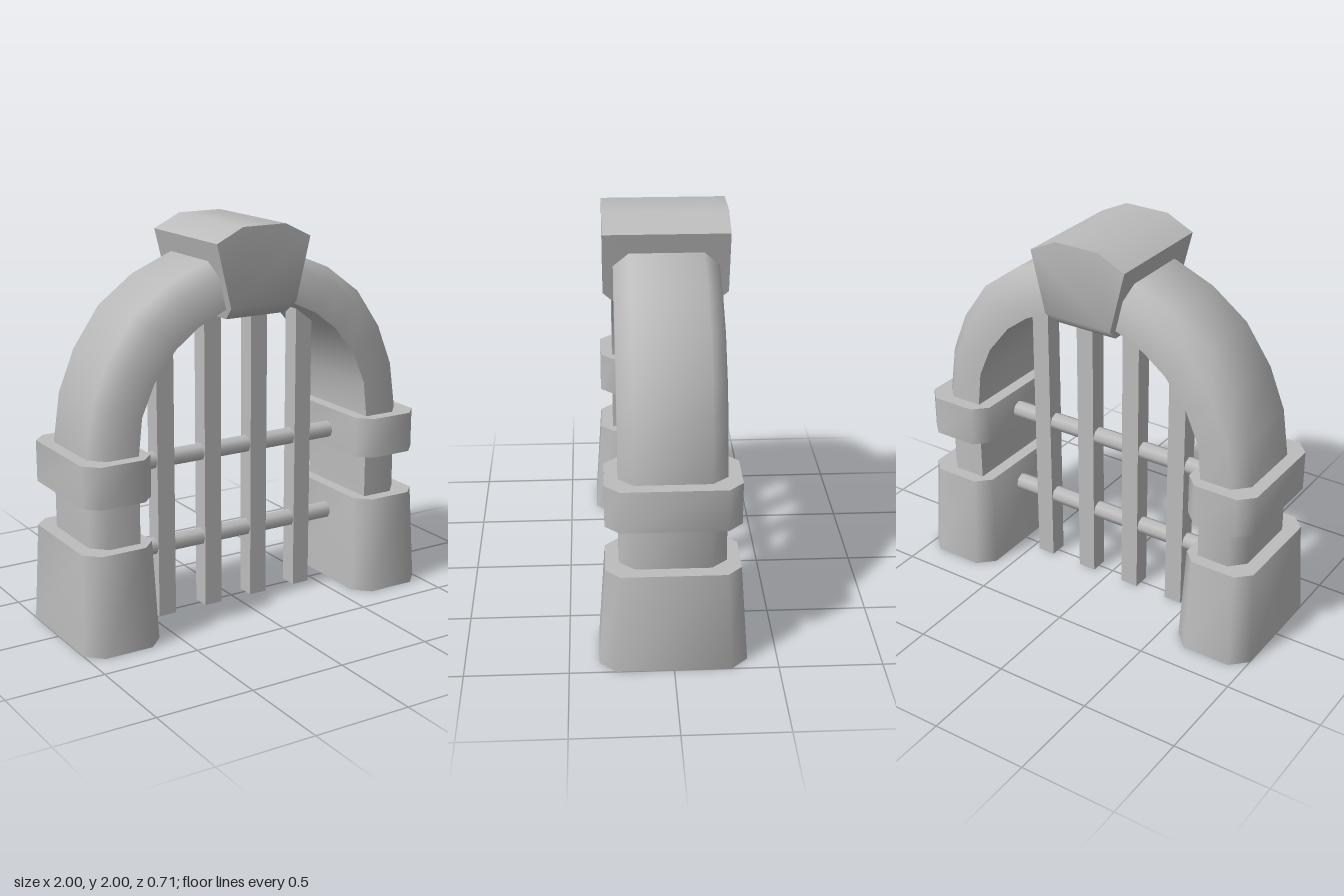
import * as THREE from 'three';
import { toCreasedNormals } from 'three/addons/utils/BufferGeometryUtils.js';

// Skin a stack of rings (each counter-clockwise about the travel direction) and cap both ends
function loft(rings, crease = 0.9) {
  const n = rings[0].length, last = (rings.length - 1) * n, index = [];
  for (let i = 0; i < rings.length - 1; i++) {
    for (let j = 0; j < n; j++) {
      const a = i * n + j, b = i * n + (j + 1) % n;
      index.push(a, b, b + n, a, b + n, a + n);
    }
  }
  for (let j = 1; j < n - 1; j++) {
    index.push(0, j + 1, j, last, last + j, last + j + 1);
  }
  const geometry = new THREE.BufferGeometry();
  geometry.setAttribute('position', new THREE.Float32BufferAttribute(rings.flat(2), 3));
  geometry.setIndex(index);
  return toCreasedNormals(geometry, crease);
}

// Horizontal rectangle with cut corners
function cutRing(y, cx, hx, hz, c) {
  return [[hx - c, hz], [hx, hz - c], [hx, c - hz], [hx - c, -hz],
    [c - hx, -hz], [-hx, c - hz], [-hx, hz - c], [c - hx, hz]].map(([x, z]) => [cx + x, y, z]);
}

export function createModel() {
  const group = new THREE.Group();
  const stone = new THREE.MeshStandardMaterial({ color: 0xbcbcbc });
  stone.name = 'grey stone';

  const add = (name, geometry, x = 0, y = 0, z = 0) => {
    const mesh = new THREE.Mesh(geometry, stone);
    mesh.name = name;
    mesh.position.set(x, y, z);
    group.add(mesh);
    return mesh;
  };

  // Arch: paired outer and inner points from the left foot to the crown, then mirrored
  const half = [
    [0.91, 0.48, 0.67, 0.48], [0.91, 0.95, 0.67, 0.95], [0.875, 1.19, 0.65, 1.13],
    [0.79, 1.4, 0.58, 1.29], [0.65, 1.6, 0.46, 1.44], [0.46, 1.74, 0.34, 1.53],
    [0.23, 1.835, 0.19, 1.6],
  ];
  const mirrored = half.map(([ox, oy, ix, iy]) => [-ox, oy, -ix, iy]).reverse();
  const rings = [...half, [0, 1.86, 0, 1.61], ...mirrored].map(([ox, oy, ix, iy]) => {
    const t = 0.07 / Math.hypot(ox - ix, oy - iy);
    const sx = ox + (ix - ox) * t, sy = oy + (iy - oy) * t;
    return [[ix, iy, 0.255], [sx, sy, 0.255], [ox, oy, 0.18],
      [ox, oy, -0.18], [sx, sy, -0.255], [ix, iy, -0.255]];
  });
  add('arch', loft(rings));

  // Keystone: tapered block with bevelled lower front and back edges
  const keystoneRing = (z, bottom, w) => [[-w, bottom, z], [w, bottom, z], [0.265, 1.93, z],
    [0.12, 2, z], [-0.12, 2, z], [-0.265, 1.93, z]];
  add('keystone', loft([keystoneRing(-0.305, 1.615, 0.187), keystoneRing(-0.235, 1.55, 0.172),
    keystoneRing(0.235, 1.55, 0.172), keystoneRing(0.305, 1.615, 0.187)]));

  // Pillar bases and bands
  for (const [side, s] of [['left', 1], ['right', -1]]) {
    add(side + 'Base', loft([cutRing(0, s * 0.7925, 0.2075, 0.355, 0.08),
      cutRing(0.505, s * 0.7925, 0.1875, 0.32, 0.07)]));
    add(side + 'Band', loft([cutRing(0.735, s * 0.79, 0.185, 0.32, 0.07),
      cutRing(0.945, s * 0.79, 0.185, 0.32, 0.07)]));
  }

  // Gate bars
  for (const x of [-0.41, -0.137, 0.137, 0.41]) {
    add('verticalBar', new THREE.BoxGeometry(0.096, 1.555, 0.096), x, 0.7775, 0);
  }
  for (const y of [0.37, 0.825]) {
    add('crossBar', new THREE.CylinderGeometry(0.046, 0.046, 1.3, 8), 0, y, 0).rotation.z = Math.PI / 2;
  }
  return group;
}
